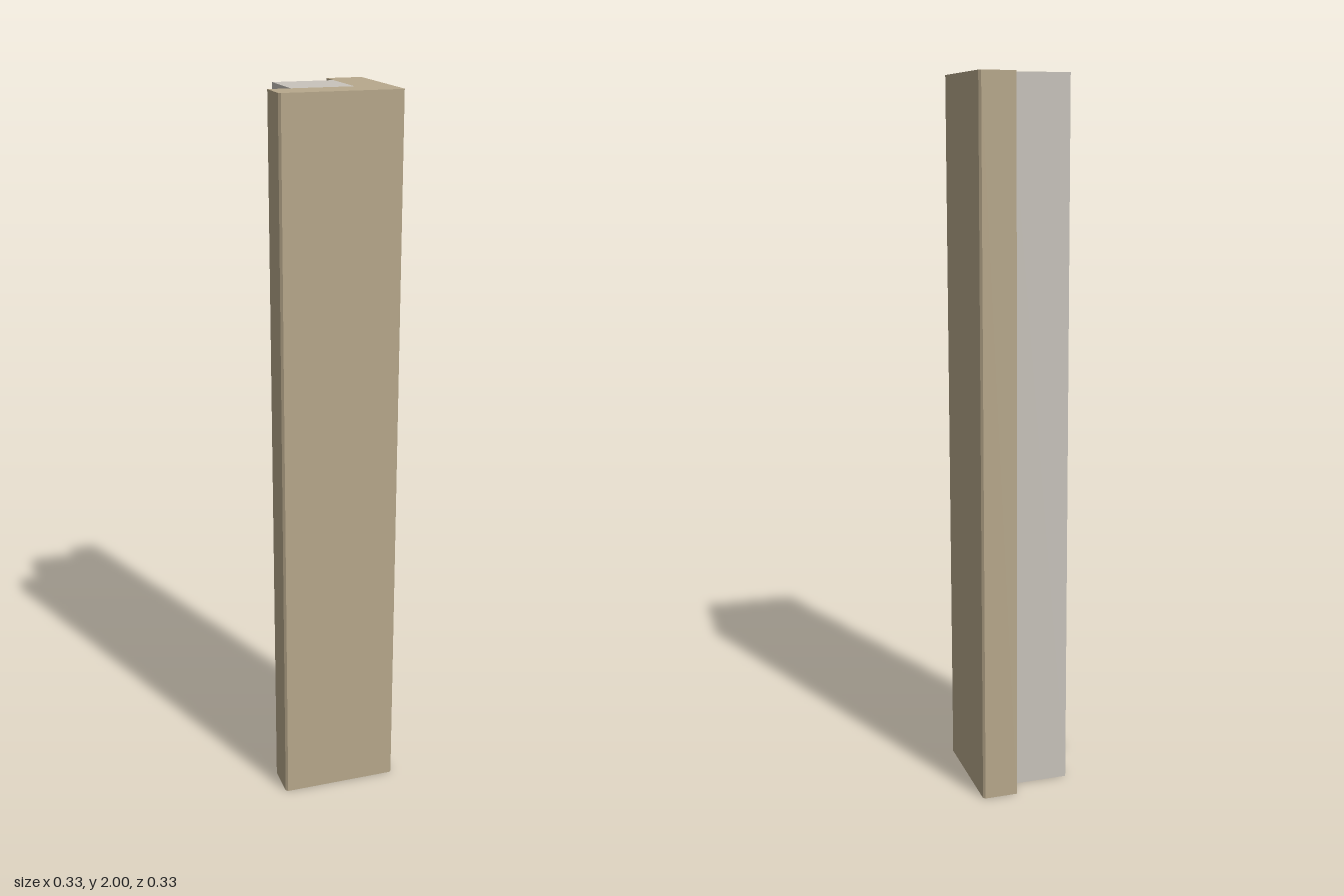
import * as THREE from 'three';

const HEIGHT = 2;
const OUT = 0.165;   // outer faces of the casing
const IN = 0.065;    // inner faces of the casing
const CORE = -0.104; // exposed faces of the core
const C = 0.006;     // chamfer on the outer corners

// Upright prism from a plan outline given as [x, z] points
function upright(name, outline, material) {
  const shape = new THREE.Shape(outline.map(([x, z]) => new THREE.Vector2(x, -z)));
  const geometry = new THREE.ExtrudeGeometry(shape, { depth: HEIGHT, bevelEnabled: false });
  geometry.rotateX(-Math.PI / 2);
  const mesh = new THREE.Mesh(geometry, material);
  mesh.name = name;
  return mesh;
}

export function createModel() {
  const tan = new THREE.MeshStandardMaterial({ color: 0xb8a98c });
  tan.name = 'tan casing';
  const grey = new THREE.MeshStandardMaterial({ color: 0xc9c4bc });
  grey.name = 'pale grey core';

  const group = new THREE.Group();
  group.name = 'cornerPost';

  // L-shaped casing wrapping the front and left sides, outer corners chamfered
  group.add(upright('cornerCasing', [
    [-OUT, IN], [-OUT, OUT - C], [-OUT + C, OUT],
    [OUT - C, OUT], [OUT, OUT - C],
    [OUT, -OUT + C], [OUT - C, -OUT],
    [IN, -OUT], [IN, IN],
  ], tan));

  // Square core set into the inside corner
  group.add(upright('core', [
    [CORE, CORE], [CORE, IN], [IN, IN], [IN, CORE],
  ], grey));

  return group;
}
